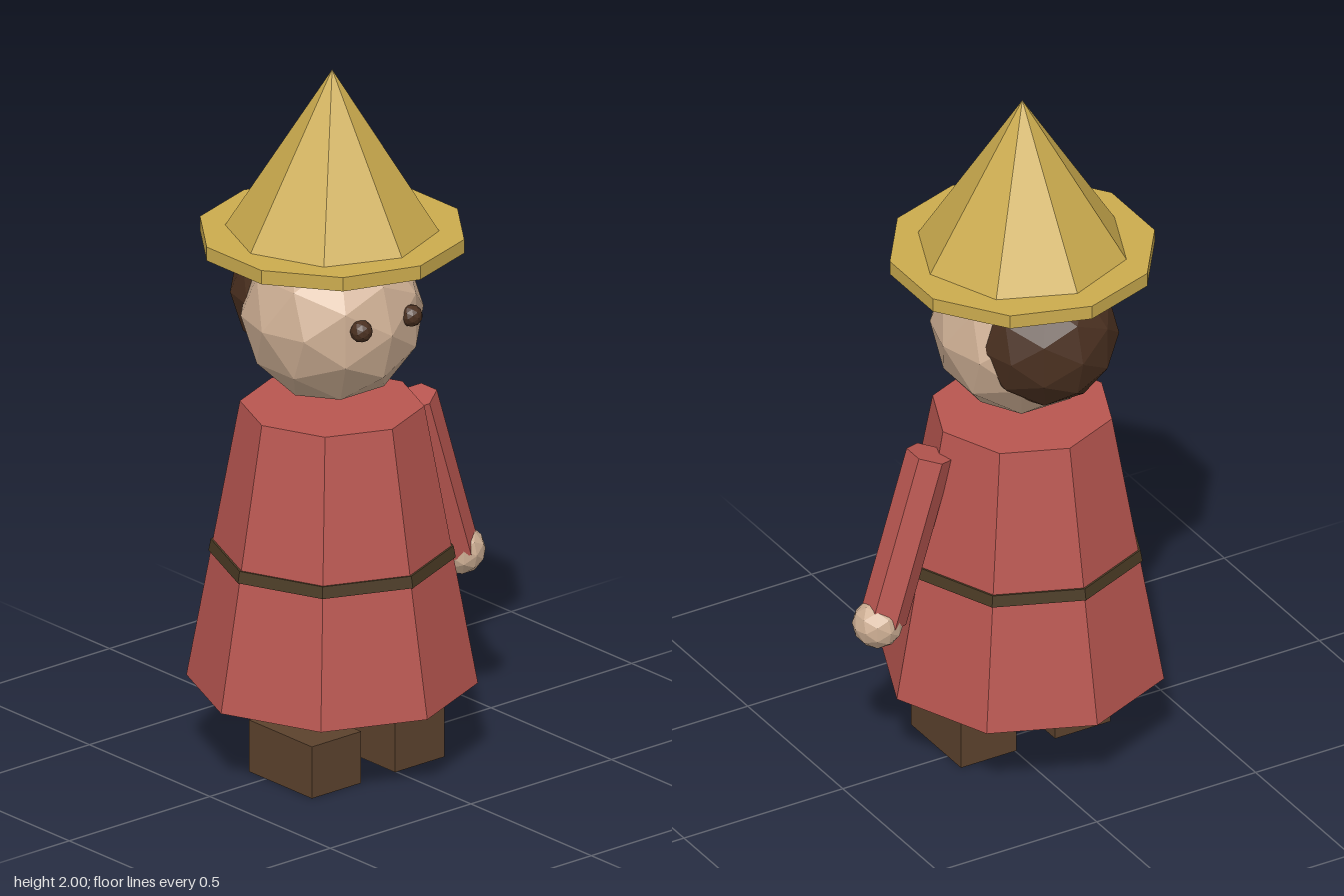
import * as THREE from 'three';

export function createModel() {
  const model = new THREE.Group();
  model.name = 'robedFigure';

  const material = (name, color) => {
    const m = new THREE.MeshStandardMaterial({ color, flatShading: true });
    m.name = name;
    return m;
  };
  const robeRed = material('robe red', 0xb85650);
  const straw = material('straw', 0xcbab4e);
  const skin = material('skin', 0xcfb095);
  const hairBrown = material('hair brown', 0x4a3020);
  const bootBrown = material('boot brown', 0x5c422d);
  const beltBrown = material('belt brown', 0x4a3a24);

  // All parts but the arm are arranged around the body axis
  const figure = new THREE.Group();
  figure.name = 'figure';
  figure.position.x = -0.065;
  model.add(figure);

  const add = (name, geometry, mat, x, y, z) => {
    const mesh = new THREE.Mesh(geometry, mat);
    mesh.name = name;
    mesh.position.set(x, y, z);
    figure.add(mesh);
    return mesh;
  };
  const ball = (r) => new THREE.IcosahedronGeometry(r, 1);

  // Robe and belt
  add('robe', new THREE.CylinderGeometry(0.25, 0.395, 0.8, 8), robeRed, 0, 0.63, 0);
  add('belt', new THREE.CylinderGeometry(0.329, 0.335, 0.033, 8), beltBrown, 0, 0.61, 0);

  // Head and hair
  add('head', ball(0.25), skin, 0, 1.3, 0);
  add('hair', ball(0.2), hairBrown, 0, 1.33, -0.12);

  // Hat
  add('hatBrim', new THREE.CylinderGeometry(0.367, 0.367, 0.04, 10), straw, 0, 1.52, 0);
  add('hatCone', new THREE.ConeGeometry(0.29, 0.46, 8), straw, 0, 1.77, 0);

  // Paired eyes and boots
  for (const [side, s] of [['left', 1], ['right', -1]]) {
    add(side + 'Eye', ball(0.031), hairBrown, s * 0.089, 1.33, 0.225);
    add(side + 'Boot', new THREE.BoxGeometry(0.175, 0.15, 0.262), bootBrown, s * 0.148, 0.075, 0.06);
  }

  // Single left arm, hanging outwards, with its hand
  const arm = add('leftArm', new THREE.CylinderGeometry(0.065, 0.065, 0.5, 6), robeRed, 0.365, 0.735, 0);
  arm.rotation.z = 0.3;
  add('leftHand', ball(0.07), skin, 0.455, 0.49, 0);

  return model;
}
